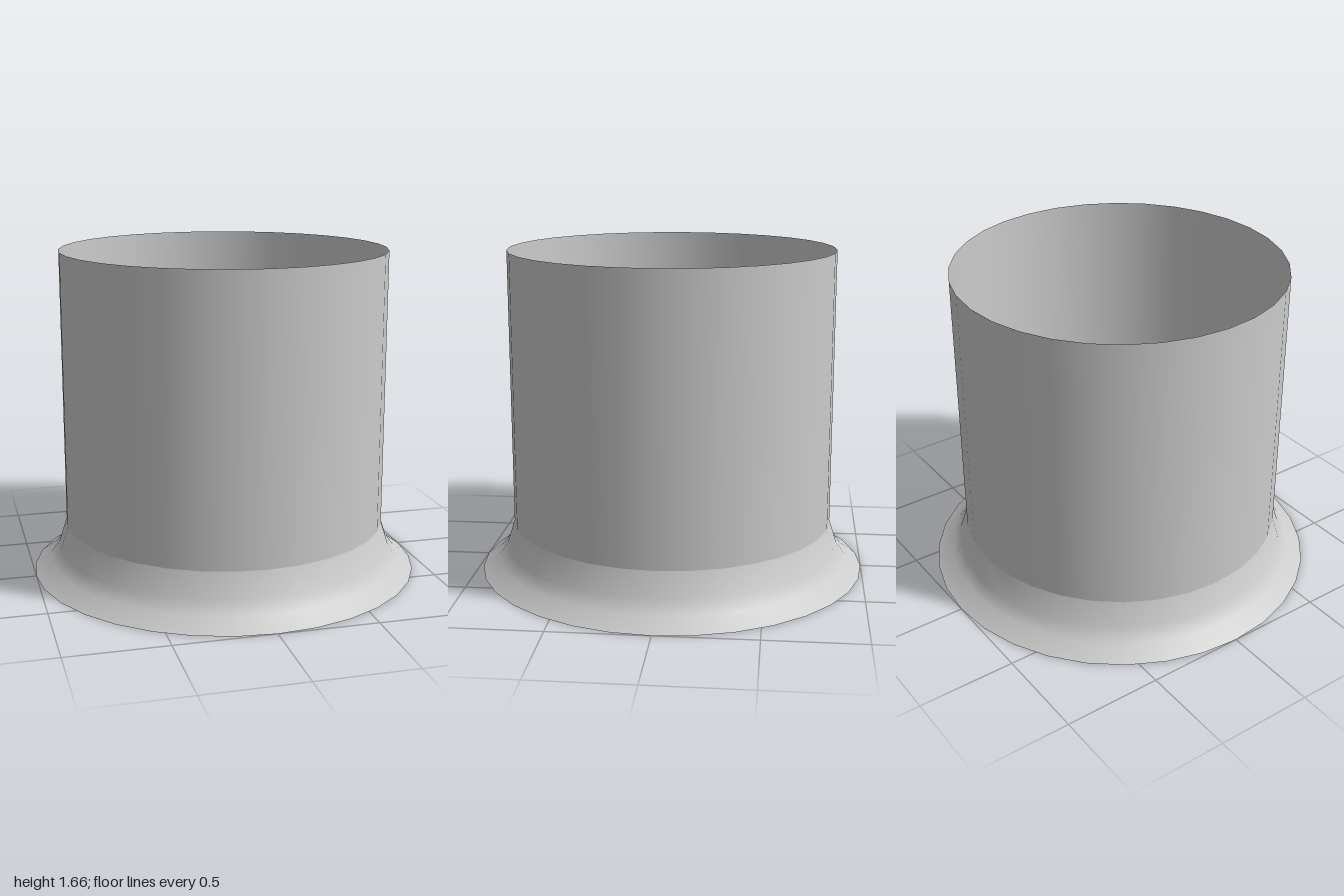
import * as THREE from 'three';

const SIDES = 32;
const RADIUS = 0.83;
const HEIGHT = 1.665;

export function createModel() {
  const model = new THREE.Group();
  model.name = 'flangedPipe';
  const material = new THREE.MeshStandardMaterial({ color: 0xcccccc, side: THREE.DoubleSide });

  // Thin surface of revolution from [radius, height] pairs, bottom to top
  const revolve = (name, profile) => {
    const points = profile.map(([r, y]) => new THREE.Vector2(r, y));
    const mesh = new THREE.Mesh(new THREE.LatheGeometry(points, SIDES), material);
    mesh.name = name;
    model.add(mesh);
  };

  // Open tube running the full height
  revolve('tube', [[RADIUS, 0], [RADIUS, HEIGHT]]);

  // Hollow flared skirt around the foot of the tube
  revolve('flaredSkirt', [[1, 0], [0.915, 0.062], [0.87, 0.125], [RADIUS, 0.25]]);

  return model;
}
